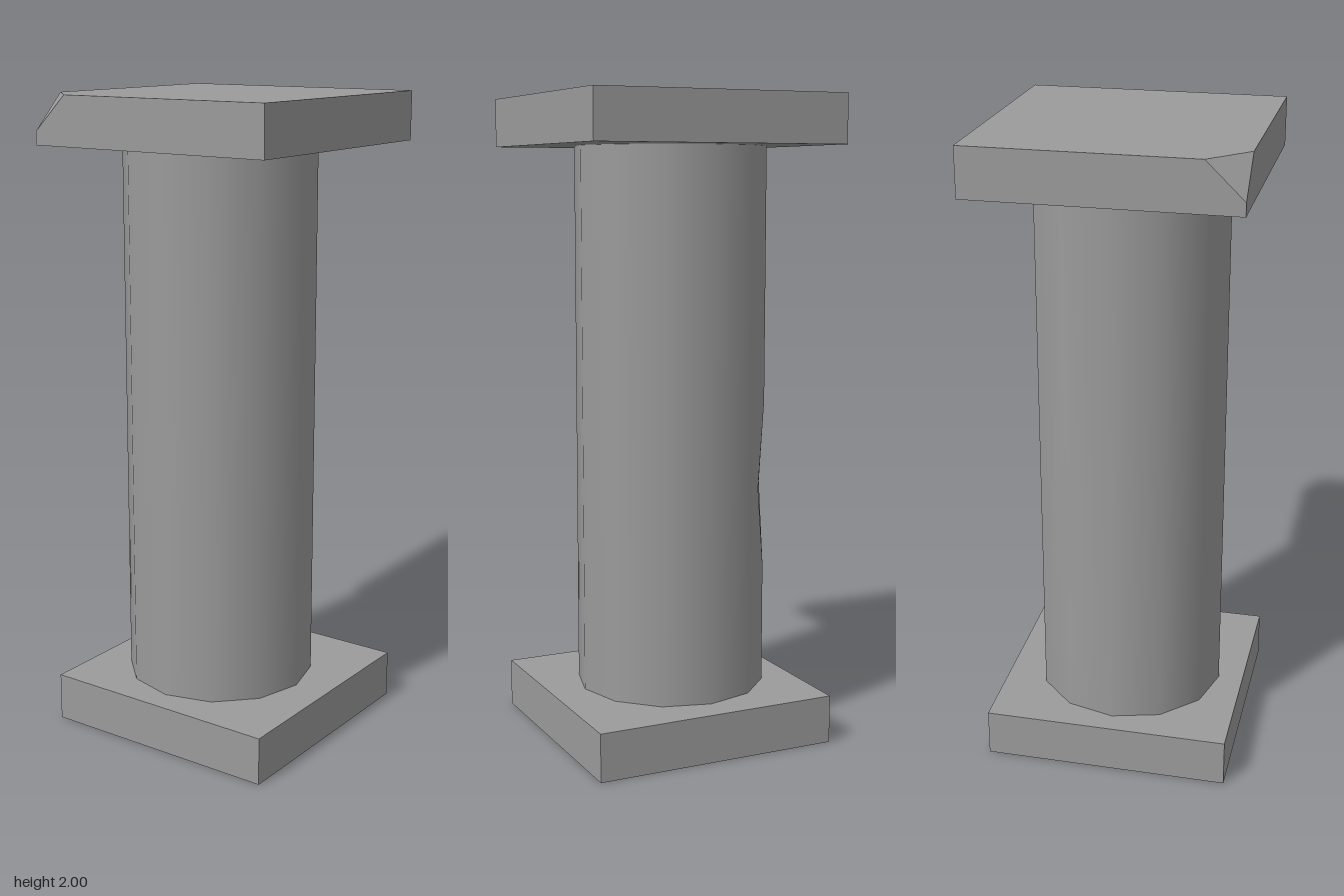
import * as THREE from 'three';
import { mergeGeometries } from 'three/addons/utils/BufferGeometryUtils.js';
import { ConvexGeometry } from 'three/addons/geometries/ConvexGeometry.js';

const SIDES = 12, RADIUS = 0.298, BOTTOM = 0.15, TOP = 1.85;
const NOTCH = { edge: 8, low: 0.53, mid: 0.79, high: 1.06, reach: 0.39, depth: 0.028 };

// Direction of a shaft edge, counted from +z towards +x
const edgeDir = (i) => {
  const a = (i / SIDES) * Math.PI * 2;
  return new THREE.Vector3(Math.sin(a), 0, Math.cos(a));
};

// Point on shaft side i: s runs 0..1 across the side
const onSide = (i, s, y) => edgeDir(i).lerp(edgeDir(i + 1), s).multiplyScalar(RADIUS).setY(y);

// One side of the shaft, leaving a triangular gap where the notch bites in
function shaftSide(i) {
  const { edge, low, mid, high, reach } = NOTCH;
  const outline = [[0, BOTTOM], [1, BOTTOM]];
  if (i === edge - 1) outline.push([1, low], [1 - reach, mid], [1, high]);
  outline.push([1, TOP], [0, TOP]);
  if (i === edge) outline.push([0, high], [reach, mid], [0, low]);
  const geo = new THREE.ShapeGeometry(new THREE.Shape(outline.map(([s, y]) => new THREE.Vector2(s, y))));
  const pos = geo.attributes.position, nor = geo.attributes.normal;
  for (let k = 0; k < pos.count; k++) {
    const p = onSide(i, pos.getX(k), pos.getY(k));
    pos.setXYZ(k, p.x, p.y, p.z);
    p.setY(0).normalize(); // rounded shading
    nor.setXYZ(k, p.x, 0, p.z);
  }
  return geo;
}

// Shallow notch: a left and a right half, each shaded as one face
function notchGeometry() {
  const { edge, low, mid, high, reach, depth } = NOTCH;
  const top = onSide(edge, 0, high), bottom = onSide(edge, 0, low);
  const left = onSide(edge - 1, 1 - reach, mid), right = onSide(edge, reach, mid);
  const sunk = edgeDir(edge).multiplyScalar(RADIUS - depth).setY(mid);
  const halves = [[top, left, bottom, sunk], [bottom, right, top, sunk]].map((points) => {
    const geo = new THREE.BufferGeometry().setFromPoints(points);
    geo.setIndex([0, 1, 3, 1, 2, 3]);
    geo.computeVertexNormals();
    const nor = geo.attributes.normal;
    for (let k = 0; k < nor.count; k++) nor.setY(k, 0);
    geo.normalizeNormals();
    return geo;
  });
  return mergeGeometries(halves);
}

// Top slab with one top corner broken off
function capGeometry() {
  const x = 0.407, z = 0.402, y0 = TOP, y1 = 2;
  const corners = [
    [-x, y0, -z], [x, y0, -z], [x, y0, z], [-x, y0, z],
    [-x, y1, -z], [x, y1, -z], [x, y1, z],
    [-0.294, y1, z], [-x, y1, 0.288], [-x, 1.89, z],
  ];
  return new ConvexGeometry(corners.map((c) => new THREE.Vector3(...c)));
}

export function createModel() {
  const group = new THREE.Group();
  group.name = 'pillar';
  const material = new THREE.MeshStandardMaterial({ color: 0x9b9b9b });
  const add = (name, geometry, x = 0, y = 0, z = 0) => {
    const mesh = new THREE.Mesh(geometry, material);
    mesh.name = name;
    mesh.position.set(x, y, z);
    group.add(mesh);
  };

  add('base', new THREE.BoxGeometry(0.779, BOTTOM, 0.769), 0, BOTTOM / 2, 0.001);
  add('cap', capGeometry());

  // Shaft and notch sit slightly off centre
  const sides = Array.from({ length: SIDES }, (_, i) => shaftSide(i));
  add('shaft', mergeGeometries(sides), -0.021, 0, 0.008);
  add('notch', notchGeometry(), -0.021, 0, 0.008);
  return group;
}
